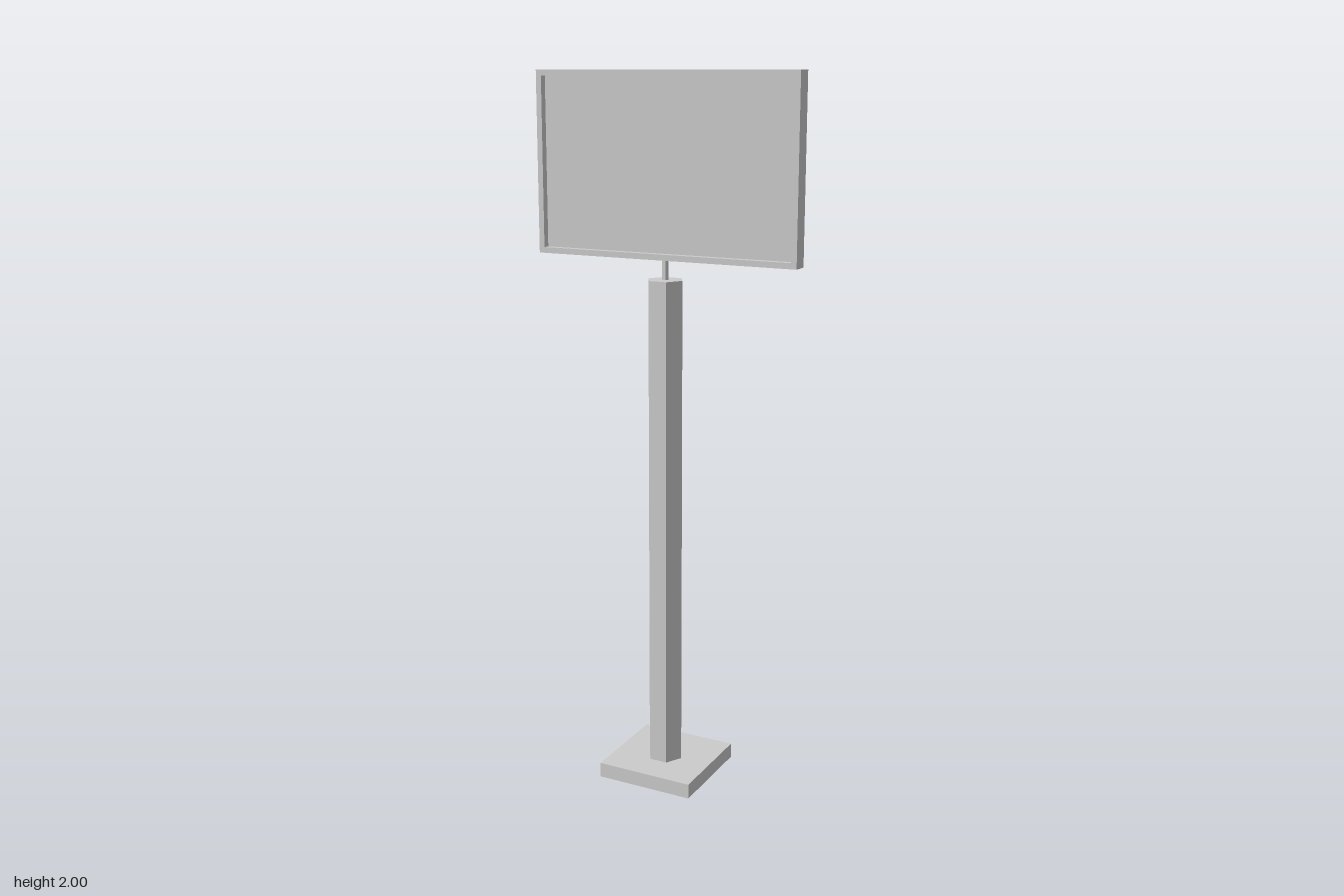
import * as THREE from 'three';

export function createModel() {
  const model = new THREE.Group();
  model.name = 'signStand';
  const material = new THREE.MeshStandardMaterial({ color: 0xcccccc, flatShading: true });

  const add = (name, geometry, x, y, z) => {
    const mesh = new THREE.Mesh(geometry, material);
    mesh.name = name;
    mesh.position.set(x, y, z);
    model.add(mesh);
  };
  // Six-sided column with a flat face to the front
  const hexColumn = (radius, height) =>
    new THREE.CylinderGeometry(radius, radius, height, 6, 1, false, Math.PI / 6);
  const rectangle = (Type, w, h) => new Type([
    new THREE.Vector2(-w / 2, -h / 2), new THREE.Vector2(w / 2, -h / 2),
    new THREE.Vector2(w / 2, h / 2), new THREE.Vector2(-w / 2, h / 2),
  ]);

  // Square foot, post and thin neck
  const postZ = 0.008;
  add('base', new THREE.BoxGeometry(0.286, 0.043, 0.286), 0, 0.0215, 0);
  add('post', hexColumn(0.052, 1.407), 0, 0.7465, postZ);
  add('neck', hexColumn(0.01, 0.07), 0, 1.475, postZ);

  // Sign: solid back panel with a raised rim round the recessed front
  const width = 0.776, height = 0.497, rim = 0.016;
  const back = -0.022, recess = 0.005, front = 0.025;
  const centreY = 2 - height / 2;
  add('signPanel', new THREE.BoxGeometry(width, height, recess - back), 0, centreY, (back + recess) / 2);

  const frame = rectangle(THREE.Shape, width, height);
  frame.holes.push(rectangle(THREE.Path, width - 2 * rim, height - 2 * rim));
  add('signFrame', new THREE.ExtrudeGeometry(frame, { depth: front - recess, bevelEnabled: false }),
    0, centreY, recess);

  return model;
}
